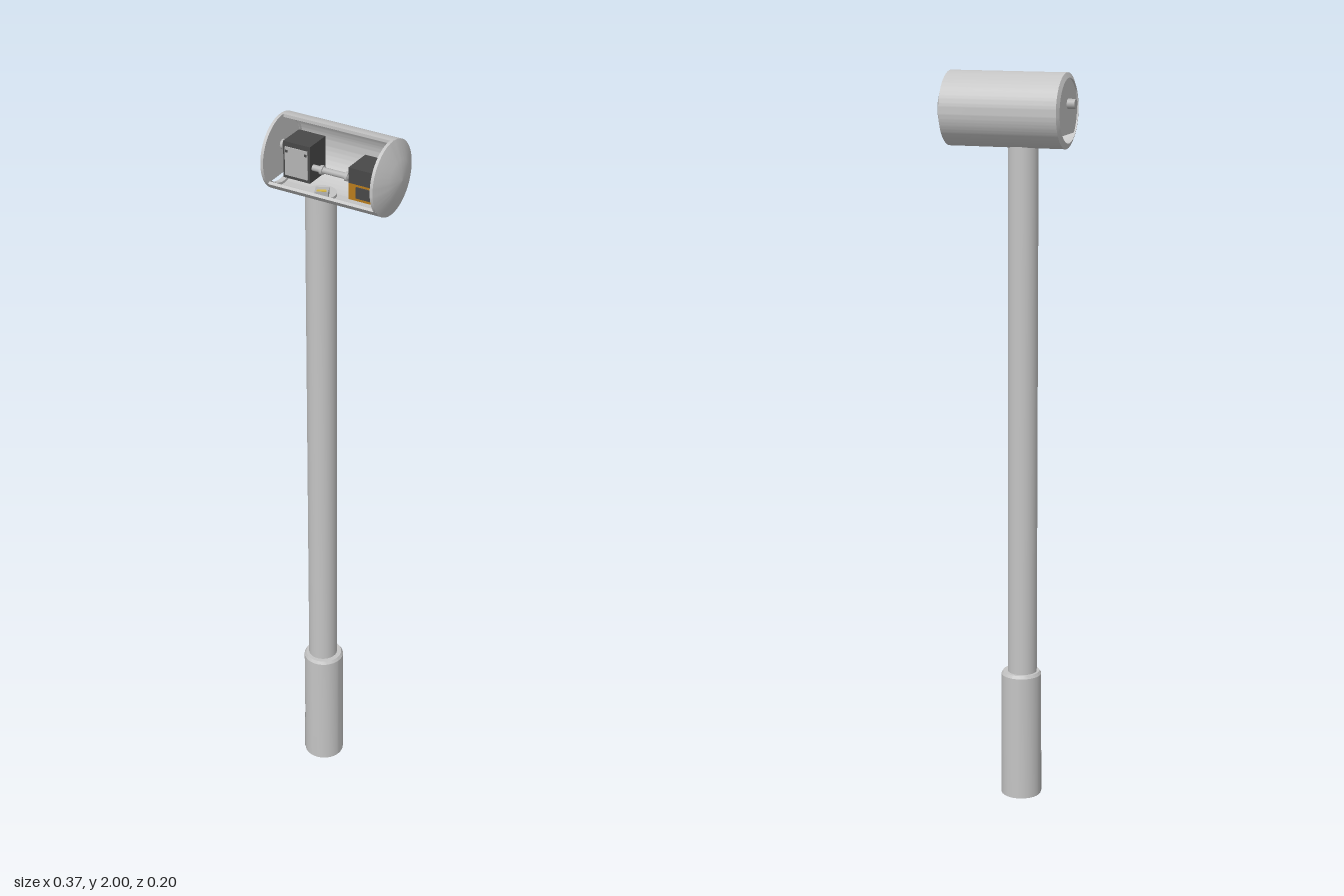
import * as THREE from 'three';
import { toCreasedNormals } from 'three/addons/utils/BufferGeometryUtils.js';

const mat = (name, color) => {
  const m = new THREE.MeshStandardMaterial({ color, side: THREE.DoubleSide });
  m.name = name;
  return m;
};

export function createModel() {
  const root = new THREE.Group();
  const head = new THREE.Group();
  root.name = 'inspectionPole';
  head.name = 'head';
  head.position.y = 1.902;
  root.add(head);

  const grey = mat('light grey', 0xc4c4c4);
  const dark = mat('dark grey', 0x484848);
  const silver = mat('silver', 0xb4b4b4);
  const amber = mat('amber', 0xb87c1c);
  const yellow = mat('yellow', 0xd8b848);

  const add = (parent, name, geo, material, x = 0, y = 0, z = 0) => {
    const mesh = new THREE.Mesh(geo, material);
    mesh.name = name;
    mesh.position.set(x, y, z);
    parent.add(mesh);
    return mesh;
  };
  const box = (name, m, x0, x1, y0, y1, z0, z1) => add(head, name,
    new THREE.BoxGeometry(x1 - x0, y1 - y0, z1 - z0), m, (x0 + x1) / 2, (y0 + y1) / 2, (z0 + z1) / 2);
  // Cylinder along x, in head coordinates
  const rod = (name, m, r, x0, x1, y, z) => {
    const mesh = add(head, name, new THREE.CylinderGeometry(r, r, x1 - x0, 24), m, (x0 + x1) / 2, y, z);
    mesh.rotation.z = -Math.PI / 2;
  };
  // Lathe about x, points are [radius, x]
  const turned = (name, pts) => {
    const geo = new THREE.LatheGeometry(pts.map(p => new THREE.Vector2(...p)), 64);
    add(head, name, toCreasedNormals(geo, 0.3), grey).rotation.z = -Math.PI / 2;
  };
  // Cross-section (drawn with x pointing to the back) extruded along x
  const alongX = (name, shape, x0, x1) => {
    const geo = new THREE.ExtrudeGeometry(shape, { depth: x1 - x0, bevelEnabled: false, curveSegments: 48 });
    add(head, name, toCreasedNormals(geo, 0.5), grey, x0).rotation.y = Math.PI / 2;
  };
  const rad = THREE.MathUtils.degToRad;

  // Pole and grip
  add(root, 'pole', new THREE.CylinderGeometry(0.04, 0.04, 1.47, 40), grey, -0.04, 1.085, 0.012);
  const grip = [[0, 0], [0.055, 0], [0.055, 0.352], [0.05, 0.36], [0, 0.36]];
  add(root, 'grip', toCreasedNormals(new THREE.LatheGeometry(grip.map(p => new THREE.Vector2(...p)), 48), 0.5),
    grey, -0.037, 0, 0.013);
  add(root, 'gripPanel', new THREE.CylinderGeometry(0.0565, 0.0565, 0.115, 12, 1, true, rad(-95), rad(50)),
    silver, -0.037, 0.062, 0.013);

  // Cutaway housing: back and floor, open at the upper front
  const shell = new THREE.Shape();
  shell.absarc(0, 0, 0.098, rad(90), rad(-142), true);
  shell.absarc(0, 0, 0.09, rad(-142), rad(90), false);
  shell.closePath();
  alongX('housing', shell, -0.162, 0.155);

  // Domed end cap and rimmed end plate
  turned('domedCap', [[0, 0.147], [0.098, 0.147], [0.098, 0.155], [0.052, 0.174], [0, 0.183]]);
  turned('endRim', [[0.083, -0.168], [0.085, -0.168], [0.098, -0.162], [0.098, -0.154], [0.083, -0.154], [0.083, -0.168]]);
  const plate = new THREE.Shape();
  plate.absarc(0, 0, 0.084, rad(-46), rad(226), false);
  plate.closePath();
  alongX('endPlate', plate, -0.164, -0.156);
  rod('knob', silver, 0.013, -0.185, -0.15, 0.018, 0.003);

  // Drive unit with its front cover and screws
  box('driveUnit', dark, -0.143, -0.066, -0.062, 0.037, -0.055, 0.021);
  box('driveCover', silver, -0.137, -0.072, -0.053, 0.024, 0.021, 0.024);
  for (const x of [-0.132, -0.077]) box('coverScrew', dark, x - 0.003, x + 0.003, 0.01, 0.016, 0.024, 0.026);

  // Shaft and collars
  rod('shaft', silver, 0.008, -0.07, 0.06, -0.024, 0.005);
  for (const x of [-0.04, 0.032]) rod('collar', silver, 0.012, x - 0.004, x + 0.004, -0.024, 0.005);

  // Sensor unit, dark above and amber below
  box('sensorTop', dark, 0.056, 0.147, -0.019, 0.022, -0.04, 0.042);
  box('sensorBase', amber, 0.056, 0.147, -0.063, -0.019, -0.04, 0.042);
  box('sensorWindow', dark, 0.078, 0.12, -0.055, -0.025, 0.042, 0.045);

  // Small turned module on the floor
  const module = add(head, 'floorModule', new THREE.BoxGeometry(0.034, 0.018, 0.028), silver, -0.027, -0.073, 0.029);
  module.rotation.y = rad(25);
  add(module, 'modulePlate', new THREE.BoxGeometry(0.024, 0.003, 0.007), yellow, 0, 0.01, 0.009);

  return root;
}
